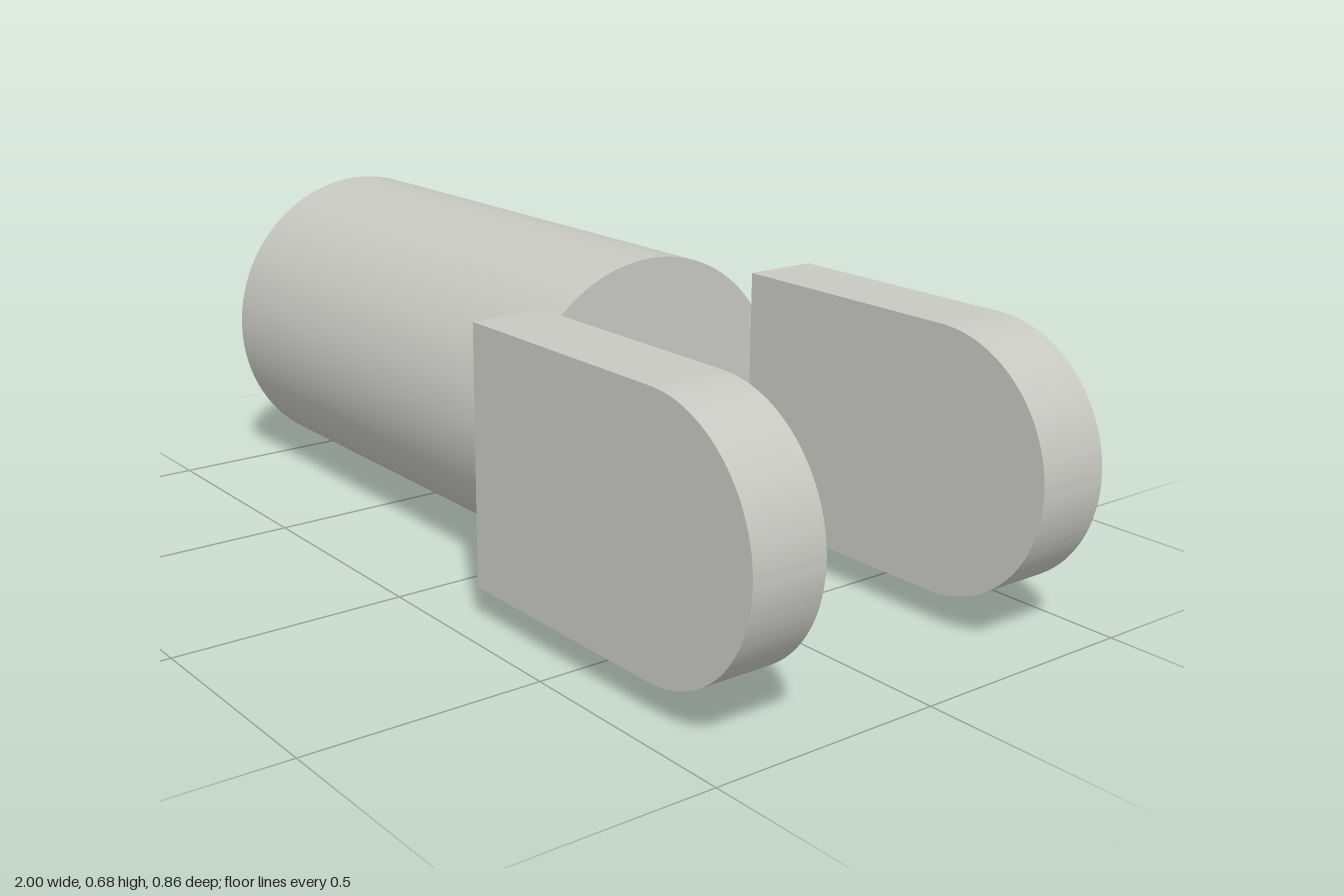
import * as THREE from 'three';
import { toCreasedNormals } from 'three/addons/utils/BufferGeometryUtils.js';

export function createModel() {
  const group = new THREE.Group();
  const metal = new THREE.MeshStandardMaterial({ color: 0xc8c8c3 });
  metal.name = 'light grey metal';

  const axisY = 0.3375, bodyEnd = 0.19;

  // Round shaft lying along x
  const length = bodyEnd + 1;
  const shaft = new THREE.Mesh(new THREE.CylinderGeometry(axisY, axisY, length, 96), metal);
  shaft.name = 'shaft';
  shaft.rotation.z = -Math.PI / 2;
  shaft.position.set(-1 + length / 2, axisY, 0);
  group.add(shaft);

  // Fork lug: a flat plate, square at the shaft and rounded at the tip
  const r = 0.27, thickness = 0.1615, gap = 0.27;
  const outline = new THREE.Shape();
  outline.moveTo(bodyEnd, -r);
  outline.lineTo(1 - r, -r);
  outline.absarc(1 - r, 0, r, -Math.PI / 2, Math.PI / 2, false);
  outline.lineTo(bodyEnd, r);
  outline.closePath();
  const lugGeometry = toCreasedNormals(
    new THREE.ExtrudeGeometry(outline, { depth: thickness, bevelEnabled: false, curveSegments: 48 }), 0.5);

  // One lug on each side of the gap
  for (const [name, z] of [['frontLug', gap], ['backLug', -gap - thickness]]) {
    const lug = new THREE.Mesh(lugGeometry, metal);
    lug.name = name;
    lug.position.set(0, axisY, z);
    group.add(lug);
  }
  return group;
}
